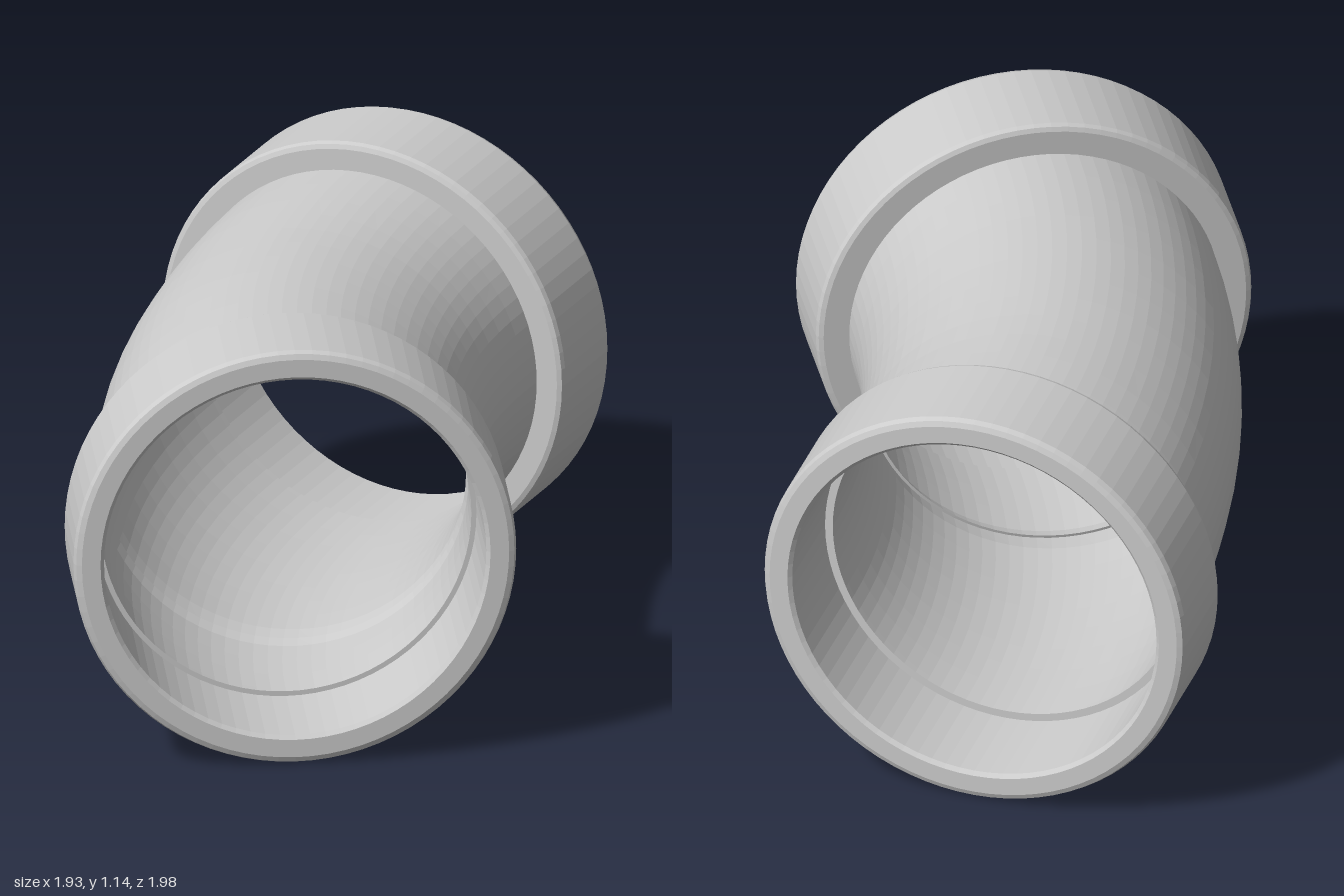
import * as THREE from 'three';

const RADIUS = 0.57, SIDES = 80;
const BEND_R = 2.19, TURN = Math.PI / 6, START = THREE.MathUtils.degToRad(26.5);
const LENGTH = BEND_R * TURN;
const ORIGIN = { x: -0.335, z: -0.487 };
const COLLAR = 0.29;

// Moves a lathe's y axis onto the pipe centre line: an arc, straight beyond both ends
function bend(geometry) {
  const p = geometry.attributes.position;
  for (let i = 0; i < p.count; i++) {
    const s = p.getY(i), on = THREE.MathUtils.clamp(s, 0, LENGTH), over = s - on;
    const a = START + on / BEND_R, sin = Math.sin(a), cos = Math.cos(a);
    const cx = ORIGIN.x + BEND_R * (Math.cos(START) - cos) + over * sin;
    const cz = ORIGIN.z + BEND_R * (sin - Math.sin(START)) + over * cos;
    const r = p.getX(i);
    p.setXYZ(i, cx + r * cos, RADIUS - p.getZ(i), cz - r * sin);
  }
  geometry.computeVertexNormals();
  return geometry;
}

export function createModel() {
  const group = new THREE.Group();
  const material = new THREE.MeshStandardMaterial({ color: 0xcccccc, flatShading: true });
  const add = (name, profile) => {
    const points = profile.map(([r, s]) => new THREE.Vector2(r, s));
    const mesh = new THREE.Mesh(bend(new THREE.LatheGeometry(points, SIDES)), material);
    mesh.name = name;
    group.add(mesh);
  };

  // Thin curved pipe: slightly flared at the back, with a fine step in the bore
  const STEPS = 12, outer = [], bore = [];
  for (let i = 0; i <= STEPS; i++) {
    const t = i / STEPS, flare = Math.max(0, 1 - t / 0.3);
    outer.push([0.486 + 0.01 * flare, t * LENGTH]);
    bore.unshift([t > 0.72 ? 0.477 : 0.469, t * LENGTH]);
    if (i === 8) bore.unshift([0.469, 0.72 * LENGTH], [0.477, 0.72 * LENGTH + 0.002]);
  }
  add('bentPipe', [...outer, ...bore]);

  // Socket collar: u runs from the pipe end to the open rim, edges rounded
  const collar = (inner) => [
    [inner, 0], [0.553, 0], [0.565, 0.005], [RADIUS, 0.017],
    [RADIUS, COLLAR - 0.02], [0.564, COLLAR - 0.006], [0.55, COLLAR],
    [0.502, COLLAR], [0.492, COLLAR - 0.01], [0.49, 0.02], [inner, 0.02], [inner, 0],
  ];
  add('frontCollar', collar(0.477).map(([r, u]) => [r, LENGTH + u]));
  add('backCollar', collar(0.469).map(([r, u]) => [r, -u]).reverse());
  return group;
}
